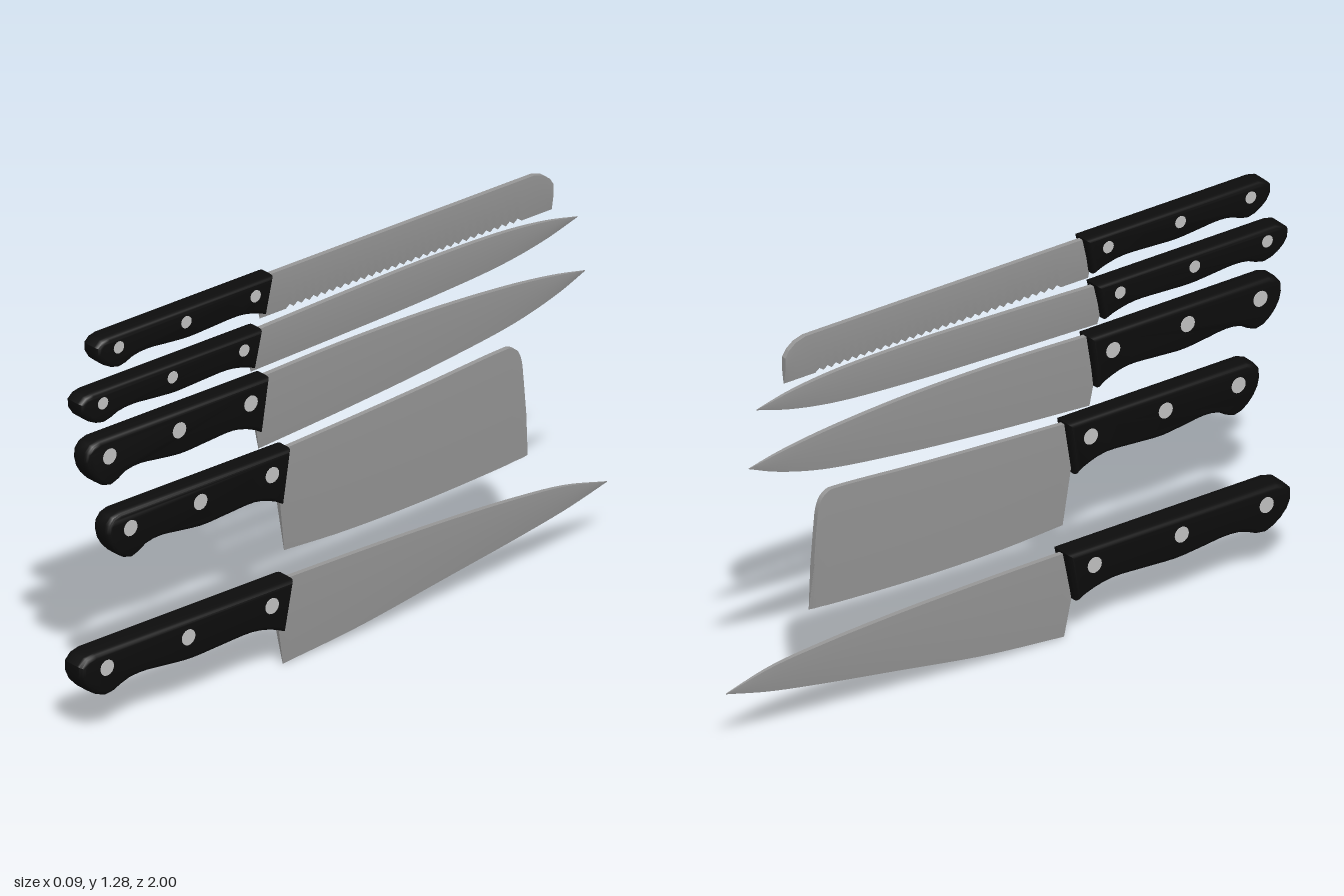
import * as THREE from 'three';
import { toCreasedNormals } from 'three/addons/utils/BufferGeometryUtils.js';

// Handle side outline: a = 0 at the blade, 1 at the butt; b = 0 bottom, 1 top
const GRIP = [[0.04, 0], [0.1, 0.13], [0.2, 0.23], [0.35, 0.2], [0.48, 0.17], [0.6, 0.22], [0.7, 0.27],
  [0.78, 0.24], [0.83, 0.13], [0.88, 0.08], [0.94, 0.22], [0.985, 0.45], [1, 0.7], [0.985, 0.91], [0.93, 1]];

// Blade stations run heel to tip: [spine z, spine y, edge z, edge y]
const CHEF = [[0.26, 0.277, 0.211, 0.002], [-0.1, 0.274, -0.07, 0.03], [-0.4, 0.267, -0.39, 0.08],
  [-0.65, 0.254, -0.66, 0.123], [-0.84, 0.235, -0.85, 0.158], [-1, 0.198, -1, 0.196]];
const CLEAVER = [[0.25, 0.693, 0.206, 0.365], [0, 0.706, -0.02, 0.354], [-0.3, 0.724, -0.33, 0.356],
  [-0.6, 0.746, -0.63, 0.371], [-0.635, 0.745, -0.66, 0.374], [-0.66, 0.728, -0.68, 0.375],
  [-0.674, 0.695, -0.695, 0.377], [-0.682, 0.63, -0.703, 0.378]];
const CARVER = [[0.34, 0.952, 0.302, 0.722], [-0.02, 0.963, -0.07, 0.749], [-0.35, 0.96, -0.39, 0.78],
  [-0.63, 0.943, -0.66, 0.818], [-0.8, 0.923, -0.82, 0.861], [-0.918, 0.902, -0.918, 0.9]];
const SLICER = [[0.36, 1.107, 0.33, 0.978], [-0.02, 1.12, -0.02, 0.988], [-0.34, 1.128, -0.34, 1.0],
  [-0.61, 1.123, -0.61, 1.02], [-0.77, 1.107, -0.77, 1.048], [-0.89, 1.084, -0.89, 1.082]];

// Bread knife: straight spine with a saw-toothed edge
const BREAD = [[0.32, 1.272, 0.297, 1.138], [0.2, 1.272, 0.2, 1.138]];
const TEETH = 30;
for (let i = 0; i < TEETH * 2; i++) {
  const z = 0.2 - 0.88 * (i + 1) / (TEETH * 2);
  BREAD.push([z, 1.272, z, i % 2 ? 1.138 : 1.149]);
}
BREAD.push([-0.72, 1.272, -0.74, 1.138], [-0.755, 1.262, -0.77, 1.138],
  [-0.78, 1.243, -0.785, 1.138], [-0.793, 1.222, -0.793, 1.138]);

// front, back: z of handle ends; bottom, top: y; half: half thickness
const KNIVES = [
  { name: 'chefKnife', blade: CHEF, front: 0.2, back: 1.0, bottom: 0.123, top: 0.283, half: 0.044, rivet: 0.025, pointed: true },
  { name: 'cleaver', blade: CLEAVER, front: 0.205, back: 0.892, bottom: 0.53, top: 0.702, half: 0.036, rivet: 0.025 },
  { name: 'carvingKnife', blade: CARVER, front: 0.285, back: 0.97, bottom: 0.786, top: 0.957, half: 0.036, rivet: 0.025, pointed: true },
  { name: 'slicingKnife', blade: SLICER, front: 0.31, back: 0.995, bottom: 1.0, top: 1.117, half: 0.036, rivet: 0.019, pointed: true },
  { name: 'breadKnife', blade: BREAD, front: 0.27, back: 0.933, bottom: 1.16, top: 1.278, half: 0.036, rivet: 0.019, straight: true },
];

// Resample stations along smooth spine and edge curves
function smoothStations(stations, count) {
  const curve = (k) => new THREE.CatmullRomCurve3(stations.map((s) => new THREE.Vector3(0, s[k + 1], s[k])));
  const spine = curve(0), edge = curve(2);
  return Array.from({ length: count + 1 }, (_, i) => {
    const p = spine.getPoint(i / count), q = edge.getPoint(i / count);
    return [p.z, p.y, q.z, q.y];
  });
}

// Loft a wedge section: thick spine, thick middle, thin cutting edge
function bladeGeometry(stations, pointed) {
  const pos = [], idx = [], last = stations.length - 1;
  const section = [[0.008, 0], [0.0085, 0.45], [0.0008, 1], [-0.0008, 1], [-0.0085, 0.45], [-0.008, 0]];
  const n = section.length;
  stations.forEach(([zs, ys, ze, ye], i) => {
    const thin = pointed ? 1 - 0.9 * (i / last) ** 5 : 1;
    for (const [x, f] of section) pos.push(x * thin, ys + (ye - ys) * f, zs + (ze - zs) * f);
  });
  for (let i = 0; i < last; i++) {
    for (let k = 0; k < n; k++) {
      const a = i * n + k, b = i * n + (k + 1) % n;
      idx.push(a, b, b + n, a, b + n, a + n);
    }
  }
  for (let k = 1; k < n - 1; k++) {
    idx.push(0, k + 1, k, last * n, last * n + k, last * n + k + 1);
  }
  const g = new THREE.BufferGeometry();
  g.setAttribute('position', new THREE.Float32BufferAttribute(pos, 3));
  g.setIndex(idx);
  return toCreasedNormals(g, 0.35);
}

// Extruded grip with softly rounded sides
function handleGeometry({ front, back, bottom, top, half }) {
  const place = ([a, b]) => new THREE.Vector2(front + a * (back - front), bottom + b * (top - bottom));
  const outline = new THREE.SplineCurve(GRIP.map(place)).getSpacedPoints(28);
  const bevel = half * 0.5;
  const g = new THREE.ExtrudeGeometry(new THREE.Shape([place([0, 1]), ...outline]), {
    depth: 2 * (half - bevel), bevelThickness: bevel, bevelSize: 0.015, bevelOffset: -0.015, bevelSegments: 4,
  });
  g.translate(0, 0, -(half - bevel));
  g.rotateY(-Math.PI / 2);
  return toCreasedNormals(g, 0.7);
}

export function createModel() {
  const steel = new THREE.MeshStandardMaterial({ name: 'bladeSteel', color: 0x989898 });
  const black = new THREE.MeshStandardMaterial({ name: 'handleBlack', color: 0x0d0d0d });
  const silver = new THREE.MeshStandardMaterial({ name: 'rivetSilver', color: 0xc6c6c6 });
  const model = new THREE.Group();
  model.name = 'knifeSet';

  for (const k of KNIVES) {
    const knife = new THREE.Group();
    knife.name = k.name;
    const add = (name, geometry, material) => {
      const mesh = new THREE.Mesh(geometry, material);
      mesh.name = name;
      knife.add(mesh);
      return mesh;
    };
    add('blade', bladeGeometry(k.straight ? k.blade : smoothStations(k.blade, 42), k.pointed), steel);
    add('handle', handleGeometry(k), black);

    // Three rivets pass through the handle
    for (const a of [0.11, 0.5, 0.88]) {
      const pin = new THREE.CylinderGeometry(k.rivet, k.rivet, 2 * k.half + 0.003, 16).rotateZ(Math.PI / 2);
      add('rivet', pin, silver).position.set(0, k.bottom + 0.66 * (k.top - k.bottom), k.front + a * (k.back - k.front));
    }
    model.add(knife);
  }
  return model;
}
